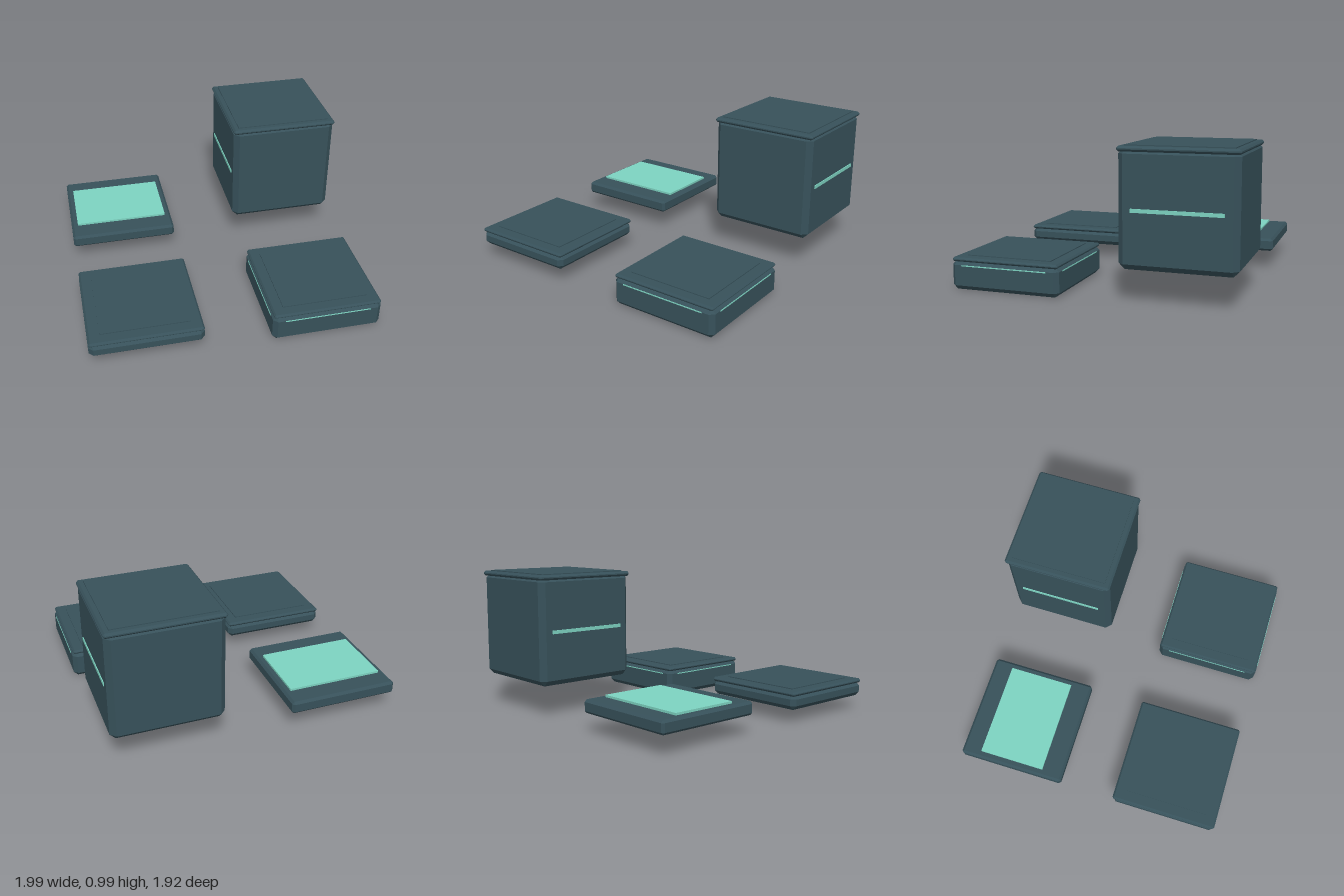
import * as THREE from 'three';
import { ConvexGeometry } from 'three/addons/geometries/ConvexGeometry.js';

const slate = new THREE.MeshStandardMaterial({ color: 0x37515a });
slate.name = 'dark slate';
const teal = new THREE.MeshStandardMaterial({ color: 0x7dd3c1 });
teal.name = 'pale teal';

// Box with every edge and corner cut flat by c (c = 0 gives a plain box)
function chamferBox(w, h, d, c) {
  if (!c) return new THREE.BoxGeometry(w, h, d);
  const points = [];
  for (const x of [-1, 1]) for (const y of [-1, 1]) for (const z of [-1, 1]) {
    for (let face = 0; face < 3; face++) {
      points.push(new THREE.Vector3(
        x * (w / 2 - (face === 0 ? 0 : c)),
        y * (h / 2 - (face === 1 ? 0 : c)),
        z * (d / 2 - (face === 2 ? 0 : c))));
    }
  }
  return new ConvexGeometry(points);
}

// Adds a block spanning y0..y1, centred on (x, z) of its group
function addBlock(group, name, w, y0, y1, d, c, material = slate, x = 0, z = 0) {
  const mesh = new THREE.Mesh(chamferBox(w, y1 - y0, d, c), material);
  mesh.name = name;
  mesh.position.set(x, (y0 + y1) / 2, z);
  group.add(mesh);
}

function addModule(model, name, x, z) {
  const group = new THREE.Group();
  group.name = name;
  group.position.set(x, 0, z);
  model.add(group);
  return group;
}

export function createModel() {
  const model = new THREE.Group();
  model.name = 'storageBlocks';
  const X = 0.615, Z = 0.577;

  // Tall cube with a lid and a light strip on each side
  const cube = addModule(model, 'tallCube', 0.61, -Z);
  addBlock(cube, 'cubeBody', 0.755, 0.22, 0.972, 0.755, 0.038);
  addBlock(cube, 'cubeLid', 0.764, 0.946, 0.98, 0.764, 0.013);
  addBlock(cube, 'cubeTopPlate', 0.68, 0.978, 0.986, 0.68, 0);
  for (const s of [-1, 1]) {
    addBlock(cube, 'cubeLightStrip', 0.01, 0.58, 0.604, 0.58, 0, teal, s * 0.378);
  }

  // Deep tray with a lid and thin light ledges on all four sides
  const deep = addModule(model, 'deepTray', 0.61, Z);
  addBlock(deep, 'deepBody', 0.762, 0, 0.197, 0.762, 0.03);
  addBlock(deep, 'deepLid', 0.75, 0.188, 0.216, 0.75, 0.011);
  addBlock(deep, 'deepTopPlate', 0.596, 0.214, 0.222, 0.596, 0);
  for (const s of [-1, 1]) {
    addBlock(deep, 'deepLightLedge', 0.6, 0.161, 0.168, 0.02, 0, teal, 0, s * 0.373);
    addBlock(deep, 'deepLightLedge', 0.02, 0.161, 0.168, 0.6, 0, teal, s * 0.373, 0);
  }

  // Shallow tray with a lid
  const shallow = addModule(model, 'shallowTray', -X, Z);
  addBlock(shallow, 'shallowBody', 0.762, 0.092, 0.197, 0.762, 0.03);
  addBlock(shallow, 'shallowLid', 0.758, 0.186, 0.216, 0.758, 0.012);
  addBlock(shallow, 'shallowTopPlate', 0.596, 0.214, 0.222, 0.596, 0);

  // Flat slab with a bright panel on top
  const slab = addModule(model, 'panelSlab', -X, -Z);
  addBlock(slab, 'slabBody', 0.762, 0.132, 0.222, 0.762, 0.016);
  addBlock(slab, 'slabPanel', 0.67, 0.22, 0.237, 0.47, 0, teal, 0, -0.005);

  return model;
}
